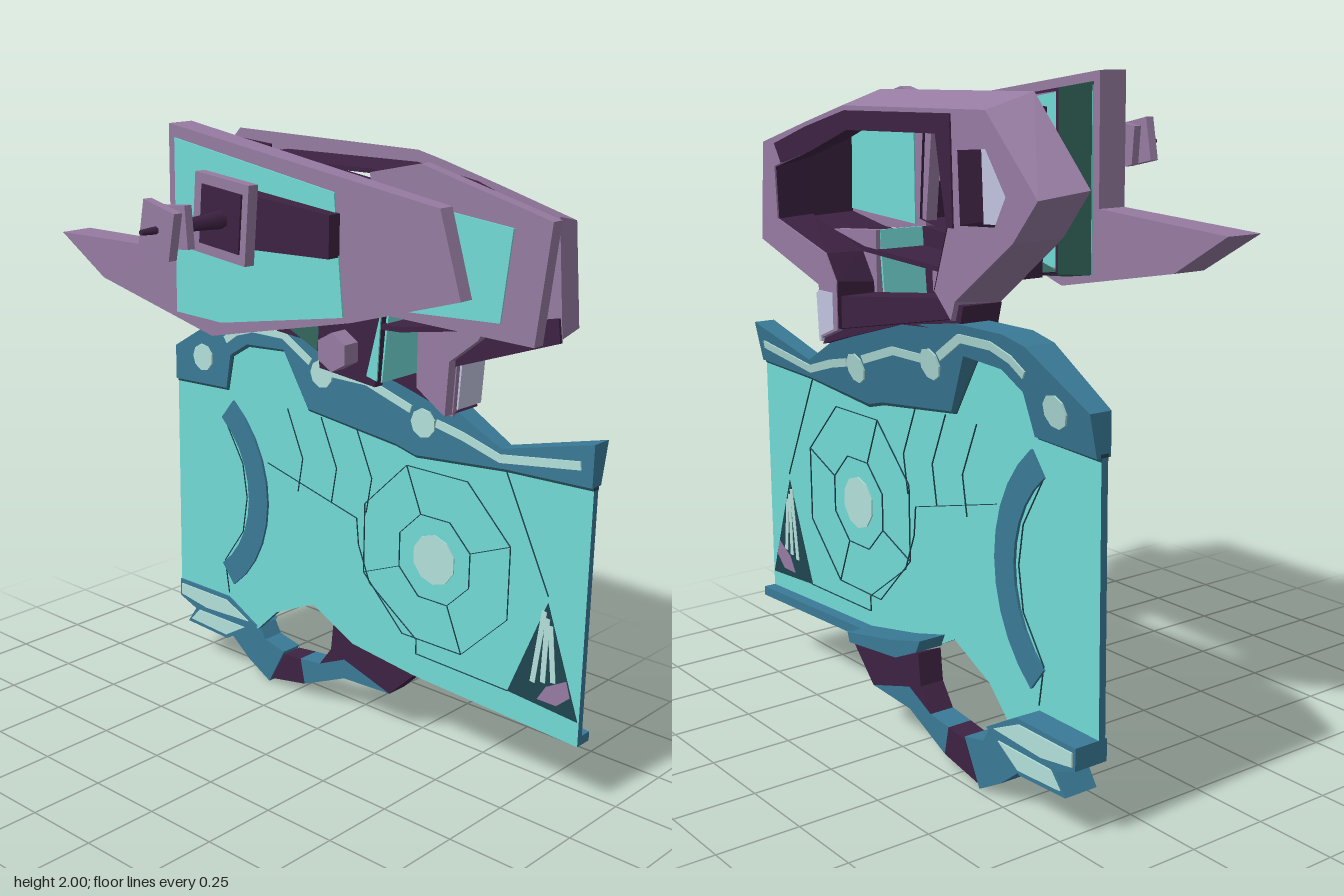
import * as THREE from 'three';

const mat = (name, color, side = THREE.FrontSide) => {
  const m = new THREE.MeshStandardMaterial({ color, side });
  m.name = name;
  return m;
};

export function createModel() {
  const model = new THREE.Group();
  model.name = 'launcherAndCard';
  const teal = mat('teal', 0x72dad6);
  const purple = mat('purple', 0x967ba1);
  const dark = mat('darkPurple', 0x3d2242, THREE.DoubleSide);
  const blue = mat('blue', 0x3a7a97);
  const pale = mat('paleTeal', 0xb2e0da);
  const green = mat('darkGreen', 0x34675d, THREE.DoubleSide);
  const lavender = mat('lavender', 0xc0c4de);
  const ink = mat('darkTeal', 0x204650);

  const group = (name) => {
    const g = new THREE.Group();
    g.name = name;
    model.add(g);
    return g;
  };
  const add = (parent, name, geo, material) => {
    const m = new THREE.Mesh(geo, material);
    m.name = name;
    parent.add(m);
    return m;
  };
  const v2 = (pts) => pts.map(([x, y]) => new THREE.Vector2(x, y));
  // Outline in x and y, extruded from z0 to z1
  const slab = (parent, name, pts, z0, z1, material, holes = []) => {
    const s = new THREE.Shape(v2(pts));
    holes.forEach((h) => s.holes.push(new THREE.Path(v2(h))));
    const g = new THREE.ExtrudeGeometry(s, { depth: z1 - z0, bevelEnabled: false });
    g.translate(0, 0, z0);
    return add(parent, name, g, material);
  };
  // Moves every vertex of a mesh by a rule
  const reshape = (mesh, rule) => {
    const p = mesh.geometry.attributes.position;
    for (let i = 0; i < p.count; i++) p.setXYZ(i, ...rule(p.getX(i), p.getY(i), p.getZ(i)));
    mesh.geometry.computeVertexNormals();
  };
  // Points scaled about their own centre
  const inset = (pts, k) => {
    const cx = pts.reduce((a, p) => a + p[0], 0) / pts.length;
    const cy = pts.reduce((a, p) => a + p[1], 0) / pts.length;
    return pts.map(([x, y]) => [cx + (x - cx) * k, cy + (y - cy) * k]);
  };
  const ngon = (cx, cy, r, n) => Array.from({ length: n }, (_, i) => {
    const a = ((i + 0.5) / n) * Math.PI * 2;
    return [cx + r * Math.cos(a), cy + r * Math.sin(a)];
  });
  // Strip of constant width along a path
  const strip = (pts, w) => {
    const off = (s) => pts.map(([x, y], i) => {
      const a = pts[Math.max(0, i - 1)], b = pts[Math.min(pts.length - 1, i + 1)];
      const l = Math.hypot(b[0] - a[0], b[1] - a[1]);
      return [x - (s * w * (b[1] - a[1])) / l / 2, y + (s * w * (b[0] - a[0])) / l / 2];
    });
    return [...off(-1), ...off(1).reverse()];
  };
  // Open wall between two matching loops
  const loft = (parent, name, a, b, material) => {
    const pos = [];
    a.forEach((p, i) => {
      const j = (i + 1) % a.length;
      pos.push(...p, ...b[i], ...b[j], ...p, ...b[j], ...a[j]);
    });
    const g = new THREE.BufferGeometry();
    g.setAttribute('position', new THREE.Float32BufferAttribute(pos, 3));
    g.computeVertexNormals();
    return add(parent, name, g, material);
  };
  const box = (parent, name, w, h, d, x, y, z, material, rz = 0, ry = 0) => {
    const m = add(parent, name, new THREE.BoxGeometry(w, h, d), material);
    m.position.set(x, y, z);
    m.rotation.set(0, ry, rz);
    return m;
  };

  // ---- Card: thin lower sheet with painted and raised parts on both sides
  const card = group('card');
  const Z0 = -0.41, Z1 = -0.388;
  slab(card, 'sheet', [[-0.8, 1.08], [-0.55, 1.08], [-0.53, 1.19], [-0.45, 1.25], [-0.28, 1.26], [-0.16, 1.08],
    [0.92, 1.08], [0.92, 0.22], [0.29, 0.25], [0.03, 0.28], [-0.15, 0.37], [-0.32, 0.29], [-0.41, 0.2],
    [-0.55, 0.27], [-0.8, 0.28]], Z0, Z1, [teal, blue]);
  const both = (name, pts, m, d = 0.004) => slab(card, name, pts, Z0 - d, Z1 + d, m);

  const arc = (r) => Array.from({ length: 11 }, (_, i) => {
    const a = -0.9 + 0.18 * i;
    return [-0.79 + r * Math.cos(a), 0.68 + r * Math.sin(a)];
  });
  both('curvedBand', [...arc(0.433), ...arc(0.345).reverse()], blue, 0.009);
  both('roundMark', ngon(0.36, 0.67, 0.083, 10), pale);
  both('cornerTriangle', [[0.79, 0.65], [0.66, 0.32], [0.915, 0.3]], ink, 0.002);
  [0, 1, 2].forEach((i) =>
    both('cornerStripe', strip([[0.78 + 0.012 * i, 0.62 - 0.02 * i], [0.75 + 0.037 * i, 0.38 + 0.01 * i]], 0.018), pale));
  both('cornerMark', [[0.77, 0.33], [0.84, 0.33], [0.885, 0.37], [0.87, 0.42], [0.8, 0.38]], purple);

  // Fine panel seams
  const seam = (pts, closed = false) => {
    const p = closed ? [...pts, pts[0]] : pts;
    for (let i = 0; i + 1 < p.length; i++) {
      const [x, y] = p[i], dx = p[i + 1][0] - x, dy = p[i + 1][1] - y;
      box(card, 'panelSeam', Math.hypot(dx, dy), 0.002, 0.03, x + dx / 2, y + dy / 2, (Z0 + Z1) / 2, ink, Math.atan2(dy, dx));
    }
  };
  seam([[-0.57, 0.95], [-0.48, 0.8], [-0.46, 0.68], [-0.48, 0.55], [-0.57, 0.42], [-0.55, 0.3]]);
  seam([[-0.36, 0.83], [0.04, 0.73], [0.05, 0.64], [0.1, 0.52], [0.3, 0.38], [0.3, 0.33], [0.66, 0.32]]);
  seam([[0.62, 1.02], [0.79, 0.67]]);
  const inner = ngon(0.36, 0.67, 0.15, 8), outer = ngon(0.36, 0.67, 0.31, 8);
  seam(inner, true);
  seam(outer, true);
  for (let i = 0; i < 8; i += 2) seam([inner[i], outer[i]]);
  [-0.27, -0.12, 0.03].forEach((x) => seam([[x, 1.04], [x + 0.07, 0.88], [x + 0.05, 0.76]]));

  // Top trim, thinner towards its lower edge
  const trim = (name, pts, d, m) => reshape(slab(card, name, pts, 0, 1, m),
    (x, y, z) => [x, y, z > 0.5 ? -0.378 + d : -0.415 - 0.2 * (y - 1) - d]);
  const trimEdge = [[0.92, 1.04], [0.62, 1.03], [0.28, 1.0], [0.2, 1.02], [-0.17, 1.06], [-0.28, 1.24],
    [-0.45, 1.23], [-0.53, 1.18], [-0.55, 1.06], [-0.8, 1.05]];
  trim('topTrim', [[-0.8, 1.17], [-0.57, 1.31], [-0.48, 1.33], [-0.27, 1.33], [0.13, 1.27], [0.4, 1.19],
    [0.6, 1.09], [0.92, 1.17], ...trimEdge], 0, blue);
  both('trimShadowGap', strip(trimEdge, 0.02), ink, 0.002);
  [[[-0.55, 1.23], [-0.5, 1.265], [-0.42, 1.29], [-0.28, 1.29], [-0.16, 1.22]],
    [[-0.07, 1.2], [0.08, 1.2], [0.26, 1.145]],
    [[0.36, 1.12], [0.46, 1.1], [0.6, 1.06], [0.88, 1.1]]]
    .forEach((p) => trim('trimStripe', strip(p, 0.026), 0.005, pale));
  [[-0.66, 1.15], [-0.11, 1.19], [0.31, 1.11]].forEach(([x, y]) => trim('trimDot', ngon(x, y, 0.047, 9), 0.006, pale));

  // Bottom rim, handle and hinge
  slab(card, 'bottomRim', [[0.92, 0.22], [0.92, 0.25], [0.3, 0.28], [0.29, 0.25]], -0.45, -0.409, blue);
  slab(card, 'handleRoot', [[0.29, 0.25], [0.3, 0.28], [0.05, 0.33], [-0.1, 0.37], [-0.08, 0.33], [0.03, 0.28]],
    -0.5, -0.409, blue);
  const grip = (m, pts) => slab(card, 'handleLink', pts, -0.485, -0.405, m);
  grip(dark, [[0.29, 0.25], [0.18, 0.14], [-0.02, 0.2], [-0.13, 0.15], [-0.08, 0.22], [-0.07, 0.32], [0.05, 0.27]]);
  grip(blue, [[0.18, 0.14], [-0.02, 0.13], [-0.2, 0.05], [-0.22, 0.14], [-0.13, 0.15], [-0.02, 0.2]]);
  grip(dark, [[-0.36, 0.02], [-0.2, 0.05], [-0.22, 0.14], [-0.3, 0.13]]);
  grip(blue, [[-0.37, 0.005], [-0.3, 0.14], [-0.39, 0.16], [-0.42, 0.21], [-0.56, 0.13], [-0.47, 0.06]]);
  slab(card, 'hinge', [[-0.8, 0.285], [-0.55, 0.285], [-0.41, 0.21], [-0.56, 0.12], [-0.76, 0.13], [-0.72, 0.19],
    [-0.8, 0.22]], -0.49, -0.382, blue);
  [[[-0.79, 0.27], [-0.56, 0.27], [-0.45, 0.22], [-0.66, 0.21], [-0.79, 0.23]],
    [[-0.7, 0.19], [-0.47, 0.19], [-0.56, 0.135], [-0.74, 0.145]]]
    .forEach((p) => slab(card, 'hingePlate', p, -0.495, -0.377, pale));

  // ---- Rear ring of the upper part: open below, narrowing to the back
  const head = group('launcher');
  const taper = (x, y, z) => {
    const t = (-0.35 - z) / 0.14;
    return [0.07 + (x - 0.07) * (1 - 0.05 * t), 1.5 + (y - 1.5) * (1 - 0.1 * t), z];
  };
  const windowHole = [[-0.54, 1.71], [-0.45, 1.84], [-0.32, 1.83], [-0.33, 1.61], [-0.49, 1.62]];
  const inside = [[0.34, 1.2], [0.34, 1.36], [0.4, 1.45], [0.7, 1.54], [0.71, 1.72], [0.47, 1.79], [0.25, 1.87],
    [-0.22, 1.88], [-0.27, 1.6], [-0.2, 1.4], [-0.28, 1.32]];
  reshape(slab(head, 'rearRing', [[-0.3, 1.38], [-0.57, 1.58], [-0.68, 1.71], [-0.45, 1.95], [0.28, 1.94], [0.5, 1.88],
    [0.78, 1.8], [0.81, 1.46], [0.45, 1.34], [0.44, 1.16], ...inside], -0.49, -0.35, purple, [windowHole]), taper);
  const lining = inset(inside, 0.985);
  loft(head, 'ringLining', lining.map(([x, y]) => taper(x, y, -0.488)), lining.map(([x, y]) => [x, y, -0.35]), dark);
  // Dark rear face of the arch
  reshape(slab(head, 'archBack', [[0.66, 1.735], [0.47, 1.785], [0.25, 1.865], [-0.22, 1.875], [-0.27, 1.6], [-0.3, 1.6],
    [-0.29, 1.935], [0.27, 1.925], [0.5, 1.865], [0.7, 1.8]], -0.495, -0.487, dark), taper);
  slab(head, 'windowSurround', [[-0.65, 1.71], [-0.45, 1.92], [-0.31, 1.91], [-0.3, 1.4], [-0.56, 1.6]], -0.35, -0.342, dark,
    [inset(windowHole, 1.08)]);
  slab(head, 'windowPane', inset(windowHole, 1.1), -0.42, -0.39, lavender);
  slab(head, 'chin', [[-0.3, 1.38], [-0.2, 1.39], [0.34, 1.33], [0.44, 1.17], [0.3, 1.21], [0, 1.29], [-0.28, 1.31]],
    -0.475, -0.345, dark);
  slab(head, 'sidePlate', [[0.45, 1.32], [0.81, 1.45], [0.8, 1.52], [0.45, 1.44]], -0.352, -0.34, dark);
  slab(head, 'leg', [[0.33, 1.52], [0.33, 1.24], [0.44, 1.17], [0.45, 1.34], [0.55, 1.42], [0.6, 1.5]], -0.345, -0.31, purple);
  slab(head, 'legSidePatch', [[0.432, 1.18], [0.444, 1.18], [0.454, 1.33], [0.44, 1.33]], -0.485, -0.37, lavender);
  slab(head, 'legBackPatch', [[0.345, 1.23], [0.42, 1.2], [0.43, 1.34], [0.345, 1.34]], -0.494, -0.487, lavender);

  // Hollow dark body joining ring and front shield, wider at the front
  const shell = [[-0.24, 1.9], [0.28, 1.905], [0.5, 1.87], [0.73, 1.79], [0.74, 1.52], [0.4, 1.45], [-0.22, 1.42]];
  reshape(slab(head, 'bodyShell', shell, -0.35, -0.14, dark, [inset(shell, 0.94)]),
    (x, y, z) => [z > -0.2 && x > 0.6 ? x + 0.06 : x, y, z]);
  const collar = [[-0.33, 1.97], [0.37, 1.885], [0.4, 1.53], [-0.2, 1.41], [-0.33, 1.43]];
  const slanted = inset(collar, 0.95).map(([x, y]) => [x, y, -0.08 + 0.25 * x]);
  loft(head, 'greenCollar', collar.map(([x, y]) => [x, y, -0.005 + 0.11 * x]), slanted, green);
  loft(head, 'bodyNeck', slanted, inset(collar, 0.92).map(([x, y]) => [x, y, -0.16]), dark);
  slab(head, 'collarStrip', [[0.375, 1.86], [0.383, 1.86], [0.41, 1.55], [0.402, 1.55]], -0.005, 0.035, pale);

  // Rear wing with its window
  slab(head, 'rearWing', [[0.3, 1.9], [0.48, 1.94], [0.92, 1.83], [0.88, 1.49], [0.35, 1.5]], -0.15, -0.11, purple);
  slab(head, 'rearWingWindow', [[0.4, 1.84], [0.8, 1.8], [0.77, 1.54], [0.4, 1.52]], -0.155, -0.105, teal);
  box(head, 'bracket', 0.18, 0.18, 0.015, 0.43, 1.74, -0.085, dark);
  [1.67, 1.74, 1.81].forEach((y) => box(head, 'bracketBar', 0.18, 0.03, 0.03, 0.43, y, -0.085, purple));

  // Lower block with hexagonal knob
  slab(head, 'lowerBlock', [[0.08, 1.5], [0.09, 1.29], [0.31, 1.27], [0.33, 1.52]], -0.175, -0.14, dark);
  slab(head, 'lowerBlockSide', [[0.308, 1.28], [0.316, 1.28], [0.338, 1.52], [0.33, 1.52]], -0.33, -0.165, teal);
  slab(head, 'frontGusset', [[0.28, 1.3], [0.32, 1.29], [0.33, 1.5]], -0.14, -0.135, teal);
  slab(head, 'sideGusset', [[-0.1, 1.42], [0.08, 1.34], [0.09, 1.46]], -0.16, -0.14, green);
  slab(head, 'knob', ngon(0.19, 1.365, 0.06, 6), -0.2, -0.08, purple);

  // ---- Front shield: slanted, thinner towards the right end
  const slant = (mesh, d) => reshape(mesh, (x, y, z) => [x, y, z > 0.5 ? 0.07 + 0.07 * x + d : -0.01 + 0.11 * x - d]);
  slant(slab(head, 'frontShield', [[-0.36, 2], [0.73, 1.87], [0.81, 1.64], [0.42, 1.52], [-0.17, 1.38], [-0.71, 1.48],
    [-0.93, 1.6], [-0.36, 1.62]], 0, 1, purple), 0);
  slant(slab(head, 'shieldPane', [[-0.33, 1.96], [0.35, 1.87], [0.39, 1.53], [-0.12, 1.43], [-0.33, 1.43]], 0, 1, teal), 0.005);

  // Emitter on the shield
  slab(head, 'emitterArm', [[-0.06, 1.85], [0.37, 1.815], [0.37, 1.695], [-0.06, 1.68]], 0.06, 0.14, dark);
  box(head, 'emitterBase', 0.23, 0.23, 0.035, 0, 1.77, 0.17, purple, -0.08, -0.07);
  box(head, 'emitterInset', 0.17, 0.17, 0.008, 0.005, 1.77, 0.19, dark, -0.08, -0.07);
  const rod = add(head, 'emitterRod', new THREE.CylinderGeometry(0.008, 0.028, 0.32, 6), dark);
  rod.rotation.x = Math.PI / 2;
  rod.position.set(0.013, 1.77, 0.34);
  box(head, 'emitterDisc', 0.12, 0.12, 0.025, 0.012, 1.77, 0.37, purple, 0.1, -0.07);
  box(head, 'emitterDisc', 0.135, 0.135, 0.028, 0.013, 1.77, 0.43, purple, -0.2, -0.07);

  return model;
}
